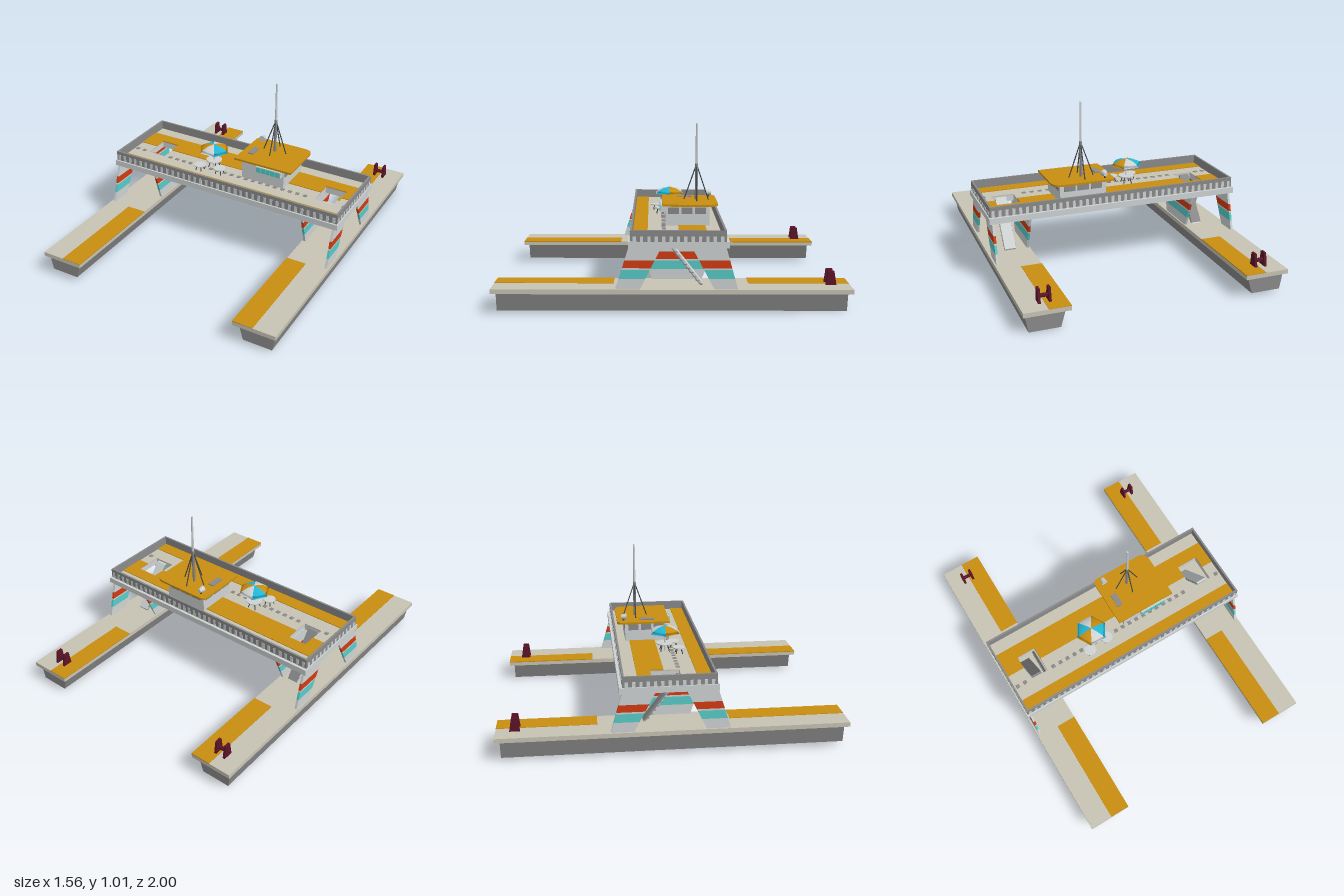
import * as THREE from 'three';

const mat = (name, color) => {
  const m = new THREE.MeshStandardMaterial({ color });
  m.name = name;
  return m;
};
const M = {
  light: mat('light grey paint', 0xcfd3d3),
  grey: mat('mid grey', 0x8a8a8a),
  beige: mat('beige deck', 0xc8c4b4),
  gold: mat('gold deck', 0xc88e10),
  red: mat('red stripe', 0xd23c12),
  cyan: mat('cyan stripe', 0x58ccc8),
  blue: mat('umbrella blue', 0x22b8d8),
  maroon: mat('maroon', 0x5c1428),
  dark: mat('dark grey', 0x484b4e),
};

export function createModel() {
  const root = new THREE.Group();
  root.name = 'catamaranPlatform';
  // the whole vessel lists very slightly
  const ship = new THREE.Group();
  ship.name = 'vessel';
  ship.rotation.set(-0.006, 0, -0.011);
  root.add(ship);

  const add = (name, geo, m) => {
    const mesh = new THREE.Mesh(geo, m);
    mesh.name = name;
    ship.add(mesh);
    return mesh;
  };
  // box given by its limits
  const box = (name, m, x0, x1, y0, y1, z0, z1) => {
    const b = add(name, new THREE.BoxGeometry(x1 - x0, y1 - y0, z1 - z0), m);
    b.position.set((x0 + x1) / 2, (y0 + y1) / 2, (z0 + z1) / 2);
    return b;
  };
  // round bar between two points
  const bar = (name, m, a, b, r, r2 = r, sides = 8) => {
    const p = new THREE.Vector3(...a), q = new THREE.Vector3(...b);
    const mesh = add(name, new THREE.CylinderGeometry(r2, r, p.distanceTo(q), sides), m);
    mesh.position.copy(p).add(q).multiplyScalar(0.5);
    mesh.quaternion.setFromUnitVectors(new THREE.Vector3(0, 1, 0), q.sub(p).normalize());
    return mesh;
  };
  const polygon = (pts) => new THREE.Shape(pts.map(([x, y]) => new THREE.Vector2(x, y)));
  const extrude = (shape, depth) =>
    new THREE.ExtrudeGeometry(shape, { depth, bevelEnabled: false, curveSegments: 6 });

  // hatch openings: x0, x1 (both share the same z range)
  const hatches = [[-0.65, -0.53], [0.55, 0.69]];
  const hz0 = -0.12, hz1 = 0.05;
  const flat = (name, m, x0, x1, z0, z1, top, thick) => {
    const s = polygon([[x0, z0], [x1, z0], [x1, z1], [x0, z1]]);
    for (const [a, b] of hatches)
      s.holes.push(new THREE.Path([[a, hz0], [a, hz1], [b, hz1], [b, hz0]].map((p) => new THREE.Vector2(...p))));
    add(name, extrude(s, thick).rotateX(Math.PI / 2).translate(0, top, 0), m);
  };

  // tapering plate in the z-y plane, painted in bands
  const yBot = 0.14, yTop = 0.385;
  const bands = [[yBot, 0.2, M.light], [0.2, 0.25, M.cyan], [0.25, 0.26, M.light], [0.26, 0.303, M.red], [0.303, yTop, M.light]];
  const bandedPlate = (name, x, [t0, t1], [b0, b1]) => {
    const at = (y, b, t) => b + ((t - b) * (y - yBot)) / (yTop - yBot);
    for (const [y0, y1, m] of bands) {
      const s = polygon([[at(y0, b0, t0), y0], [at(y0, b1, t1), y0], [at(y1, b1, t1), y1], [at(y1, b0, t0), y1]]);
      add(name, extrude(s, 0.014).rotateY(-Math.PI / 2).translate(x + 0.007, 0, 0), m);
    }
  };

  for (const s of [-1, 1]) {
    const side = s > 0 ? 'left' : 'right';
    const span = (a, b) => (s > 0 ? [a, b] : [-b, -a]);
    // hull and its deck
    const hull = [[0.535, 0.118], [0.565, 0.014], [0.742, 0.014], [0.762, 0.118]].map(([x, y]) => [x * s, y]);
    add(side + 'Hull', extrude(polygon(hull), 1.94).translate(0, 0, -0.97), M.grey);
    box(side + 'HullDeck', M.beige, ...span(0.513, 0.775), 0.116, 0.142, -1, 1);
    for (const [z0, z1] of [[-1, -0.43], [0.33, 1]])
      box(side + 'DeckStripe', M.gold, ...span(0.512, 0.636), 0.139, 0.1445, z0, z1);

    // outer struts and inner panel
    bandedPlate(side + 'FrontStrut', s * 0.757, [0.06, 0.24], [0.18, 0.315]);
    bandedPlate(side + 'BackStrut', s * 0.757, [-0.29, -0.1], [-0.36, -0.23]);
    bandedPlate(side + 'InnerPanel', s * 0.527, [-0.27, 0.19], [-0.17, 0.115]);

    // mooring bitts near the stern
    const cx = s > 0 ? 0.635 : -0.645;
    for (const d of [-1, 1]) {
      const p = polygon([[-0.922, 0.142], [-0.862, 0.142], [-0.872, 0.222], [-0.908, 0.222]]);
      add(side + 'BittPost', extrude(p, 0.014).rotateY(-Math.PI / 2).translate(cx + d * 0.03 + 0.007, 0, 0), M.maroon);
    }
    bar(side + 'BittBar', M.maroon, [cx - 0.03, 0.175, -0.89], [cx + 0.03, 0.175, -0.89], 0.012);

    // stairs from hatch to hull deck
    const [x0, x1] = s > 0 ? [0.6, 0.668] : [-0.632, -0.568];
    const [topMat, underMat] = s > 0 ? [M.light, M.grey] : [M.grey, M.light];
    const ramp = (off, m, name) => {
      const p = polygon([[-0.17, 0.142 + off], [-0.155, 0.142 + off], [0.045, 0.4 + off], [0.03, 0.4 + off]]);
      add(name, extrude(p, x1 - x0).rotateY(-Math.PI / 2).translate(x1, 0, 0), m);
    };
    ramp(0.008, topMat, side + 'StairTop');
    ramp(0, underMat, side + 'StairUnderside');
    for (let i = 1; i < 11; i++) {
      const t = i / 11, z = -0.158 + 0.2 * t, y = 0.142 + 0.258 * t;
      box(side + 'StairTread', M.grey, x0 - 0.002, x1 + 0.002, y - 0.002, y + 0.003, z - 0.014, z + 0.008);
    }
  }

  // bridge slab and floor with hatches
  flat('bridgeSlab', M.light, -0.782, 0.782, -0.31, 0.245, 0.41, 0.036);
  flat('bridgeFloor', M.beige, -0.765, 0.765, -0.283, 0.225, 0.416, 0.007);
  box('floorStripeFront', M.gold, -0.765, 0.765, 0.414, 0.42, 0.14, 0.225);
  box('floorStripeBack', M.gold, -0.765, 0.765, 0.414, 0.42, -0.2, hz0);
  for (const [a, b] of [[-0.765, -0.65], [-0.53, 0.55], [0.69, 0.765]])
    box('floorStripeBack', M.gold, a, b, 0.414, 0.42, hz0, -0.04);

  // parapet with rows of small posts at its foot
  const px = 0.775, pz0 = -0.293, pz1 = 0.235, t = 0.012, y0 = 0.409, y1 = 0.472;
  box('parapetFront', M.grey, -px, px, y0, y1, pz1 - t, pz1);
  box('parapetBack', M.grey, -px, px, y0, y1, pz0, pz0 + t);
  for (const s of [-1, 1]) {
    const c = s * (px - t / 2);
    box('parapetSide', M.grey, c - t / 2, c + t / 2, y0, y1, pz0 + t, pz1 - t);
    for (let i = 0; i < 13; i++) {
      const z = pz0 + 0.024 + i * 0.04;
      box('sidePost', M.light, s * px - 0.002, s * px + 0.002, y0, 0.44, z - 0.009, z + 0.009);
    }
  }
  for (const z of [pz0, pz1])
    for (let i = 0; i < 38; i++) {
      const x = -0.755 + (i * 1.51) / 37;
      box('railPost', M.light, x - 0.009, x + 0.009, y0, 0.45, z - 0.002, z + 0.002);
    }
  // row of small vents along the middle of the floor
  for (let i = 0; i < 30; i++) {
    const x = -0.74 + i * 0.051;
    if (!hatches.some(([a, b]) => x > a - 0.03 && x < b + 0.03))
      box('floorVent', M.grey, x - 0.012, x + 0.012, 0.414, 0.419, 0.035, 0.058);
  }

  // cabin with windows
  box('cabin', M.light, 0.04, 0.33, 0.415, 0.54, -0.225, 0.035);
  for (const x of [0.04, 0.33])
    for (let i = 0; i < 3; i++)
      box('sideWindow', M.grey, x - 0.003, x + 0.003, 0.487, 0.525, -0.205 + i * 0.08, -0.14 + i * 0.08);
  for (let i = 0; i < 3; i++)
    box('backWindow', M.grey, 0.065 + i * 0.085, 0.135 + i * 0.085, 0.487, 0.525, -0.228, -0.222);
  box('windowBay', M.light, 0.152, 0.322, 0.497, 0.538, 0.035, 0.066);
  for (let i = 0; i < 5; i++)
    box('bayWindow', M.cyan, 0.156 + i * 0.033, 0.186 + i * 0.033, 0.502, 0.535, 0.064, 0.07);

  // cabin roof with rounded corners
  const roof = new THREE.Shape();
  roof.moveTo(-0.005, 0.055).lineTo(0.385, 0.055).lineTo(0.385, -0.215);
  roof.quadraticCurveTo(0.385, -0.275, 0.325, -0.275).lineTo(0.03, -0.275);
  roof.quadraticCurveTo(-0.005, -0.275, -0.005, -0.24).lineTo(-0.005, 0.055);
  add('cabinRoof', extrude(roof, 0.012).rotateX(Math.PI / 2).translate(0, 0.55, 0), M.gold);
  box('roofPanel', M.grey, 0.04, 0.077, 0.548, 0.556, -0.13, -0.04);
  bar('lampStand', M.dark, [0.05, 0.548, -0.235], [0.05, 0.57, -0.235], 0.006);
  bar('searchLamp', M.light, [0.05, 0.575, -0.25], [0.05, 0.575, -0.215], 0.012, 0.021, 12);

  // mast with stays
  const mx = 0.174, mz = -0.153;
  bar('lowerMast', M.grey, [mx, 0.548, mz], [mx, 0.77, mz], 0.009);
  bar('upperMast', M.light, [mx, 0.77, mz], [mx - 0.003, 1.012, mz], 0.0075, 0.006);
  for (const [dx, dz] of [[1, 0], [-1, 0], [0, 1], [0, -1]])
    bar('mastStay', M.dark, [mx, 0.765, mz], [mx + dx * 0.078, 0.548, mz + dz * 0.075], 0.0035, 0.0035, 6);

  // sun umbrella: six sectors in three colours
  const ux = -0.18, uz = 0.003;
  const canopy = [[0, 0.566], [0.1, 0.535], [0.085, 0.552], [0.045, 0.57], [0, 0.577]].map((p) => new THREE.Vector2(...p));
  for (let i = 0; i < 6; i++) {
    const g = new THREE.LatheGeometry(canopy, 1, Math.PI / 6 + (i * Math.PI) / 3, Math.PI / 3);
    add('umbrellaSector', g, [M.blue, M.gold, M.light][i % 3]).position.set(ux, 0, uz);
  }
  bar('umbrellaPole', M.light, [ux, 0.416, uz], [ux, 0.57, uz], 0.004);
  // table and stools
  for (const [name, x, z, r, h] of [['table', ux, uz, 0.05, 0.468], ['stool', -0.237, 0.085, 0.038, 0.455], ['stool', -0.105, 0.065, 0.038, 0.455]]) {
    bar(name + 'Top', M.light, [x, h - 0.006, z], [x, h, z], r, r, 16);
    for (let k = 0; k < 4; k++) {
      const a = Math.PI / 4 + (k * Math.PI) / 2, c = Math.cos(a) * r * 0.75, d = Math.sin(a) * r * 0.75;
      bar(name + 'Leg', M.dark, [x + c, 0.416, z + d], [x + c * 0.6, h - 0.005, z + d * 0.6], 0.003, 0.003, 6);
    }
  }
  return root;
}
